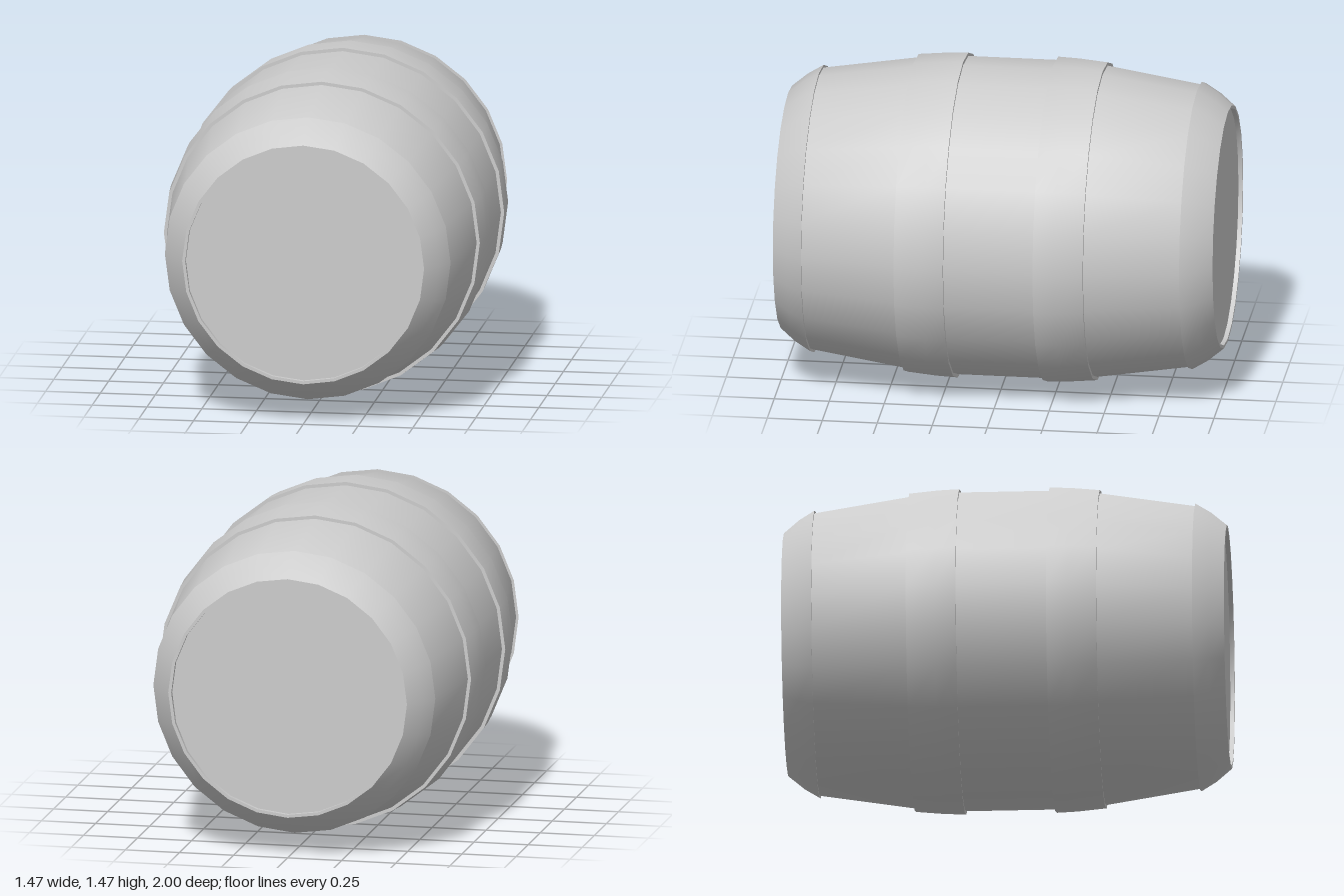
import * as THREE from 'three';
import { toCreasedNormals } from 'three/addons/utils/BufferGeometryUtils.js';

const SIDES = 24;
const RADIUS = 0.737;
const material = new THREE.MeshStandardMaterial({ color: 0xcccccc });

// Turns a profile of [radius, z] pairs, listed from back to front, around the z axis.
function turned(name, profile) {
  const points = profile.map(([r, z]) => new THREE.Vector2(r, z));
  const lathe = new THREE.LatheGeometry(points, SIDES).rotateX(Math.PI / 2);
  const mesh = new THREE.Mesh(toCreasedNormals(lathe, Math.PI / 6), material);
  mesh.name = name;
  return mesh;
}

export function createModel() {
  const barrel = new THREE.Group();
  barrel.name = 'barrel';

  // Bulging stave body, running a little way under the end hoops
  const half = [[0.722, 0.2], [0.706, 0.43], [0.64, 0.86], [0.63, 0.88]];
  const back = half.map(([r, z]) => [r, -z]).reverse();
  barrel.add(turned('body', [...back, ...half]));

  // The same hoops and lid at the front and the back
  for (const [side, turn] of [['front', 0], ['back', Math.PI]]) {
    const end = new THREE.Group();
    end.name = side + 'End';
    end.rotation.y = turn;
    end.add(
      turned('middleHoop', [[0.715, 0.204], [0.737, 0.204], [0.733, 0.3], [0.721, 0.43], [0.7, 0.43]]),
      // Rounded end hoop with a thin lip around the recessed lid
      turned('endHoop', [[0.625, 0.86], [0.652, 0.86], [0.61, 0.93], [0.552, 1], [0.538, 1], [0.538, 0.975]])
    );
    const lid = new THREE.Mesh(new THREE.CircleGeometry(0.54, SIDES), material);
    lid.name = 'lid';
    lid.position.z = 0.98;
    end.add(lid);
    barrel.add(end);
  }

  barrel.position.y = RADIUS;
  const model = new THREE.Group();
  model.add(barrel);
  return model;
}
